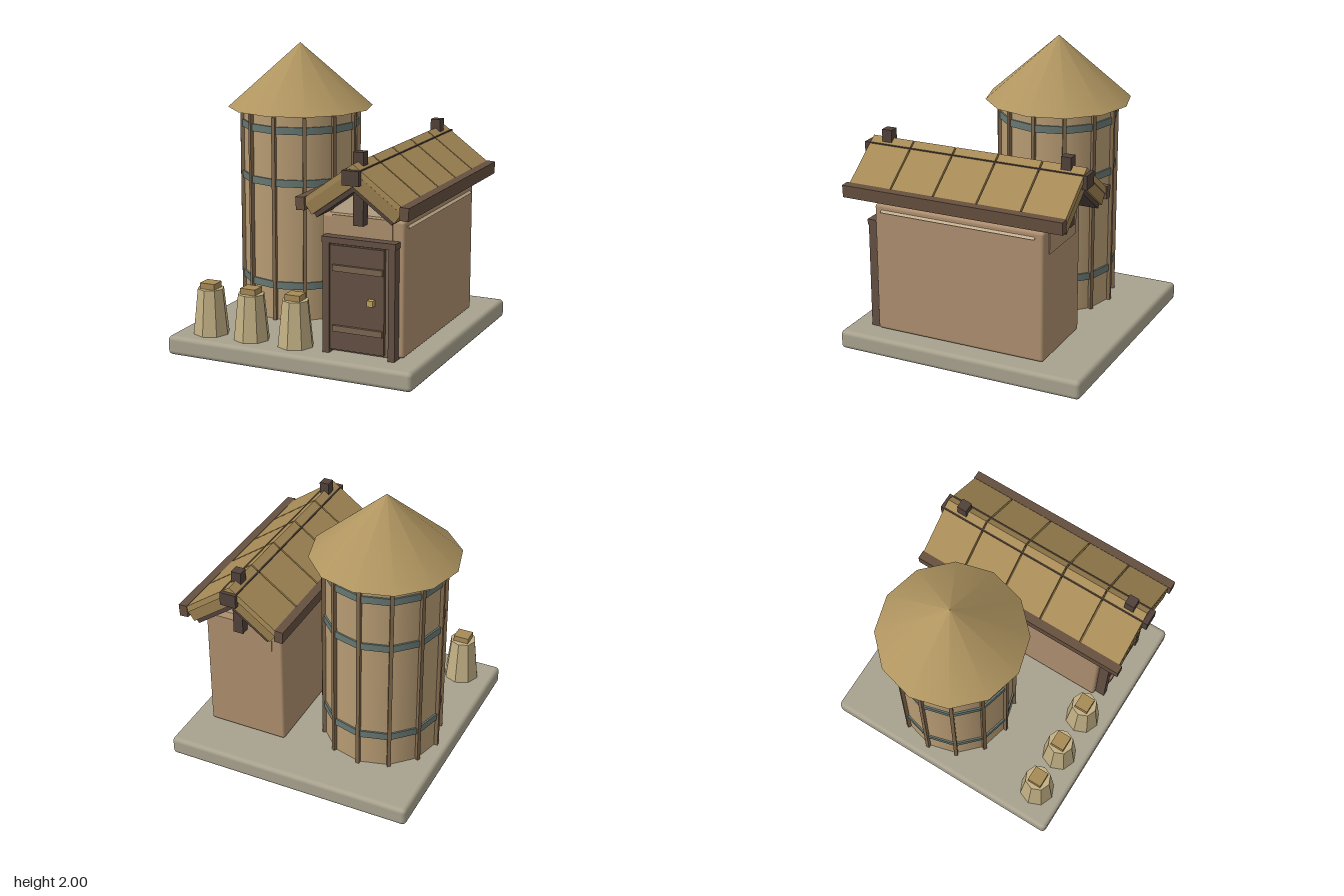
import * as THREE from 'three';
import { RoundedBoxGeometry } from 'three/addons/geometries/RoundedBoxGeometry.js';

const mat = (color, extra = {}) => new THREE.MeshStandardMaterial({ color, ...extra });
const M = {
  stone: mat(0xa8a28e), plaster: mat(0xb89c74), wall: mat(0xac8e6e), gable: mat(0xc6b191),
  thatch: mat(0xb09560), panel: mat(0xa68a56), slab: mat(0x987d4e), post: mat(0x80684c),
  dark: mat(0x51423a), eave: mat(0x66503f), door: mat(0x634f42), strap: mat(0x7a6450),
  band: mat(0x687872), sack: mat(0xc2b084, { flatShading: true }), brass: mat(0xbda25c),
};

function add(parent, name, geometry, material, x = 0, y = 0, z = 0) {
  const mesh = new THREE.Mesh(geometry, material);
  mesh.name = name;
  mesh.position.set(x, y, z);
  parent.add(mesh);
  return mesh;
}

// Box given by its extents on each axis
function span(parent, name, material, [x0, x1], [y0, y1], [z0, z1]) {
  return add(parent, name, new THREE.BoxGeometry(x1 - x0, y1 - y0, z1 - z0), material,
    (x0 + x1) / 2, (y0 + y1) / 2, (z0 + z1) / 2);
}

function group(parent, name, x = 0, y = 0, z = 0) {
  const g = new THREE.Group();
  g.name = name;
  g.position.set(x, y, z);
  parent.add(g);
  return g;
}

function buildSilo(root) {
  const silo = group(root, 'silo', -0.39, 0, -0.15);
  add(silo, 'siloBody', new THREE.CylinderGeometry(0.395, 0.395, 1.45, 12), M.plaster, 0, 0.845, 0);
  add(silo, 'siloRoof', new THREE.ConeGeometry(0.5, 0.44, 12), M.thatch, 0, 1.78, 0);
  for (const y of [0.375, 1.09, 1.45]) {
    add(silo, 'siloBand', new THREE.CylinderGeometry(0.407, 0.407, 0.05, 12), M.band, 0, y, 0);
  }
  // Upright battens on the corners
  for (let i = 0; i < 12; i++) {
    const a = (i / 12) * Math.PI * 2;
    const post = add(silo, 'siloBatten', new THREE.BoxGeometry(0.025, 1.41, 0.03), M.post,
      Math.sin(a) * 0.402, 0.835, Math.cos(a) * 0.402);
    post.rotation.y = a;
  }
}

function buildDoor(shed) {
  const door = group(shed, 'door');
  for (const x of [0.2, 0.655]) span(door, 'doorPost', M.door, [x, x + 0.045], [0.13, 0.87], [0.64, 0.73]);
  span(door, 'doorLintel', M.door, [0.195, 0.705], [0.86, 0.9], [0.64, 0.735]);
  span(door, 'doorSurround', M.strap, [0.24, 0.66], [0.14, 0.86], [0.64, 0.69]);
  span(door, 'doorLeaf', M.door, [0.245, 0.62], [0.155, 0.845], [0.66, 0.715]);
  for (const y of [0.3, 0.7]) span(door, 'doorStrap', M.strap, [0.27, 0.615], [y - 0.02, y + 0.02], [0.7, 0.735]);
  span(door, 'doorKnob', M.brass, [0.52, 0.56], [0.48, 0.52], [0.71, 0.755]);
}

function buildRoof(shed) {
  const roof = group(shed, 'shedRoof', 0.45, 1.4, 0);
  const pitch = THREE.MathUtils.degToRad(36);
  for (const s of [-1, 1]) {
    const slope = group(roof, s < 0 ? 'rightSlope' : 'leftSlope');
    slope.rotation.z = -s * pitch;
    const layer = (name, m, u0, u1, top, bottom, z) =>
      span(slope, name, m, s < 0 ? [-u1, -u0] : [u0, u1], [bottom, top], z);
    layer('roofSlab', M.slab, 0, 0.43, -0.035, -0.115, [-0.715, 0.82]);
    layer('roofLining', M.dark, 0.08, 0.42, -0.11, -0.145, [-0.7, 0.8]);
    // Five covering panels with narrow seams
    for (let i = 0; i < 5; i++) {
      const z = -0.725 + i * 0.311;
      layer('roofPanel', M.panel, 0, 0.435, 0, -0.04, [z, z + 0.3]);
    }
    const eave = add(roof, 'eaveBeam', new THREE.BoxGeometry(0.06, 0.085, 1.57), M.eave, s * 0.352, -0.277, 0.055);
    eave.rotation.z = -s * 0.06;
  }
  span(roof, 'ridgeBeam', M.dark, [-0.057, 0.057], [-0.13, -0.035], [-0.75, 0.857]);
  // Ridge posts pass up through the roof at both ends
  for (const z of [-0.63, 0.665]) span(roof, 'ridgePost', M.dark, [-0.035, 0.035], [-0.41, 0.06], [z, z + 0.07]);
}

function buildShed(root) {
  const shed = group(root, 'shed');
  add(shed, 'shedWalls', new RoundedBoxGeometry(0.57, 0.895, 1.22, 2, 0.02), M.wall, 0.45, 0.5825, 0.05);
  span(shed, 'gablePlate', M.wall, [0.24, 0.655], [0.86, 1.03], [-0.566, 0.666]);
  // Triangular loft under the roof
  const tri = new THREE.Shape([[-0.3, 0.98], [0.3, 0.98], [0, 1.28]].map(p => new THREE.Vector2(...p)));
  add(shed, 'gable', new THREE.ExtrudeGeometry(tri, { depth: 1.11, bevelEnabled: false }), M.gable, 0.45, 0, -0.5);
  buildDoor(shed);
  buildRoof(shed);
}

export function createModel() {
  const root = new THREE.Group();
  root.name = 'farmstead';
  add(root, 'base', new RoundedBoxGeometry(1.755, 0.13, 1.755, 2, 0.03), M.stone, 0, 0.065, 0);
  buildSilo(root);
  buildShed(root);
  // Row of tapered sacks with square caps
  for (const x of [-0.65, -0.345, -0.02]) {
    const sack = group(root, 'sack', x, 0, 0.68);
    add(sack, 'sackBody', new THREE.CylinderGeometry(0.09, 0.123, 0.31, 8), M.sack, 0, 0.285, 0);
    add(sack, 'sackCap', new THREE.BoxGeometry(0.108, 0.045, 0.1), M.panel, 0, 0.4575, 0);
  }
  return root;
}
